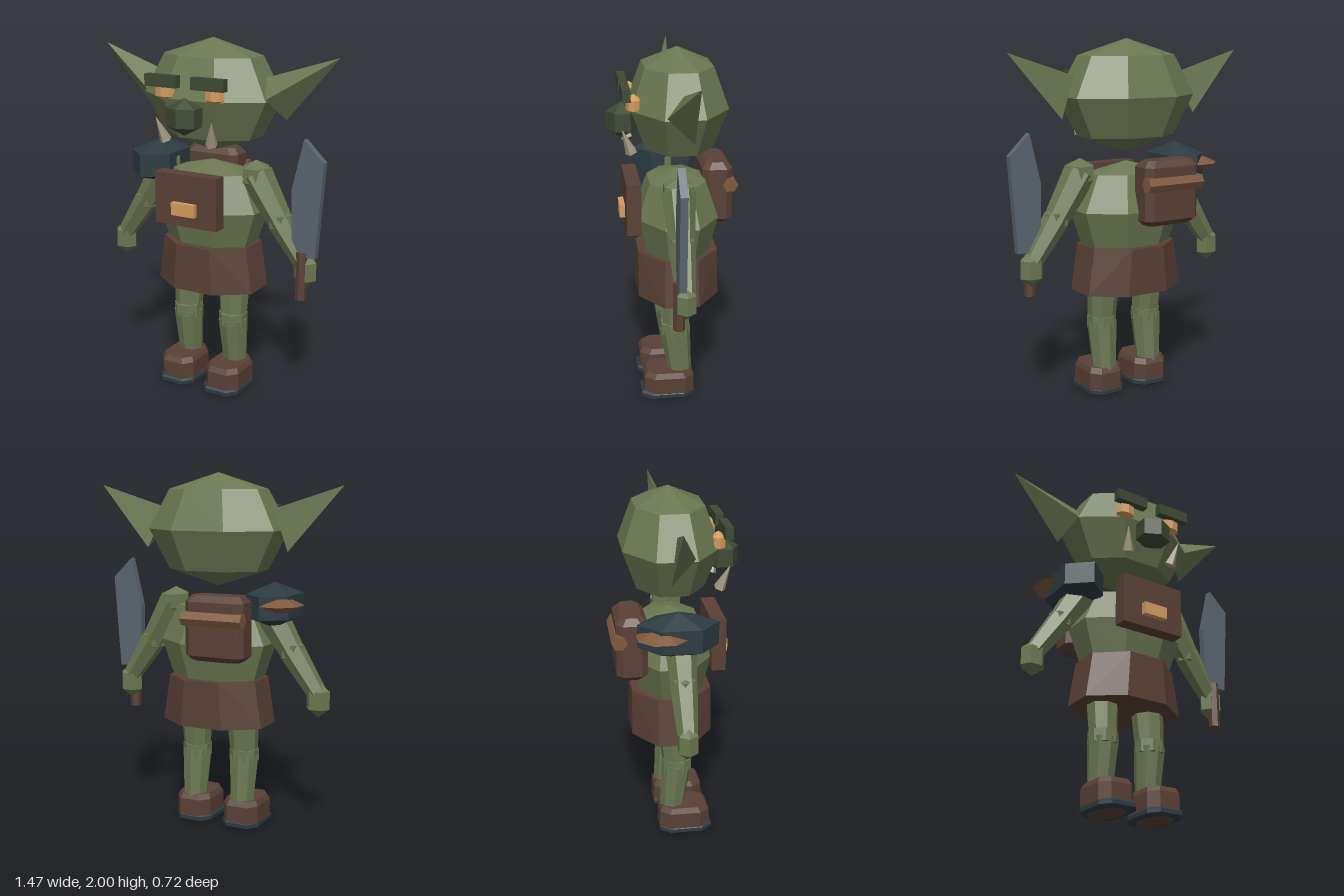
import * as THREE from 'three';
import { ConvexGeometry } from 'three/addons/geometries/ConvexGeometry.js';

const material = (name, color) => {
  const m = new THREE.MeshStandardMaterial({ color });
  m.name = name;
  return m;
};

export function createModel() {
  const skin = material('green skin', 0x6b7852);
  const darkSkin = material('dark green skin', 0x3e4a34);
  const leather = material('brown leather', 0x5a4136);
  const tan = material('tan leather', 0x80593e);
  const iron = material('dark blue iron', 0x2d3c42);
  const steel = material('grey steel', 0x5b6570);
  const amber = material('amber', 0xd39c5f);
  const ivory = material('ivory', 0xa69c82);

  const model = new THREE.Group();
  model.name = 'goblinWarrior';

  // Faceted mesh: split the faces so that every one has its own normal
  const add = (name, geometry, mat) => {
    const g = geometry.index ? geometry.toNonIndexed() : geometry;
    g.computeVertexNormals();
    const mesh = new THREE.Mesh(g, mat);
    mesh.name = name;
    model.add(mesh);
    return mesh;
  };

  const box = (name, mat, size, pos) =>
    add(name, new THREE.BoxGeometry(...size).translate(...pos), mat);

  // Low-poly ellipsoid
  const ball = (name, mat, pos, radii, w = 6, h = 3, turn = 0) =>
    add(name, new THREE.SphereGeometry(1, w, h).rotateY(turn).scale(...radii).translate(...pos), mat);

  // Tapered limb between two points
  const limb = (name, mat, from, to, r0, r1, sides = 6) => {
    const a = new THREE.Vector3(...from), b = new THREE.Vector3(...to);
    const dir = b.clone().sub(a);
    const g = new THREE.CylinderGeometry(r1, r0, dir.length(), sides);
    g.applyQuaternion(new THREE.Quaternion().setFromUnitVectors(
      new THREE.Vector3(0, 1, 0), dir.clone().normalize()));
    const mid = a.add(b).multiplyScalar(0.5);
    return add(name, g.translate(mid.x, mid.y, mid.z), mat);
  };

  // Solid from stacked eight-cornered rings: [y, half width, half depth, corner cut x, corner cut z]
  const stack = (name, mat, x, z, rings) => {
    const points = [];
    for (const [y, a, b, cx, cz] of rings)
      for (const sx of [-1, 1])
        for (const sz of [-1, 1])
          points.push(
            new THREE.Vector3(x + sx * a, y, z + sz * (b - cz)),
            new THREE.Vector3(x + sx * (a - cx), y, z + sz * b));
    return add(name, new ConvexGeometry(points), mat);
  };

  // Head and face
  ball('head', skin, [0, 1.69, -0.025], [0.411, 0.31, 0.281], 8, 4, Math.PI / 8);
  ball('nose', darkSkin, [0, 1.61, 0.275], [0.117, 0.1, 0.098], 6, 3, Math.PI / 6);

  // Torso
  const profile = [[0, 0.83], [0.26, 0.84], [0.341, 1.07], [0.24, 1.27], [0, 1.33]]
    .map(([r, y]) => new THREE.Vector2(r, y));
  add('torso', new THREE.LatheGeometry(profile, 8).rotateY(Math.PI / 8)
    .scale(0.925 / 0.924, 1, 0.7).translate(0, 0, -0.02), skin);

  // Skirt
  stack('skirt', leather, 0, -0.02, [
    [0.61, 0.305, 0.225, 0.18, 0.13],
    [0.87, 0.265, 0.222, 0.16, 0.13]]);

  // Chest plate and buckle
  box('chestPlate', leather, [0.385, 0.29, 0.08], [-0.002, 1.15, 0.23]);
  box('buckle', amber, [0.145, 0.07, 0.035], [-0.002, 1.105, 0.283]);

  // Backpack and bedroll
  stack('backpack', leather, -0.112, -0.25, [
    [1.0, 0.14, 0.055, 0.035, 0.025],
    [1.03, 0.172, 0.085, 0.035, 0.035],
    [1.32, 0.172, 0.085, 0.035, 0.035],
    [1.355, 0.14, 0.055, 0.035, 0.025]]);
  limb('bedroll', tan, [-0.29, 1.23, -0.32], [0.065, 1.23, -0.32], 0.043, 0.043);

  // Shoulder guard on the right side
  ball('shoulderGuard', iron, [-0.34, 1.288, -0.015], [0.165, 0.127, 0.25], 6, 3, Math.PI / 6);
  ball('shoulderGuardTrim', tan, [-0.4, 1.3, -0.105], [0.135, 0.065, 0.145], 8, 2, Math.PI / 8);

  for (const s of [1, -1]) {
    const side = s > 0 ? 'left' : 'right';

    // Ear
    add(side + 'Ear', new ConvexGeometry([
      [0.735, 1.93, -0.05], [0.33, 1.805, -0.02], [0.43, 1.58, -0.065], [0.37, 1.7, 0.07],
    ].map(([x, y, z]) => new THREE.Vector3(s * x, y, z))), skin);

    // Brow, eye, tusk
    box(side + 'Brow', darkSkin, [0.197, 0.065, 0.045], [s * 0.143, 1.79, 0.265]);
    ball(side + 'Eye', amber, [s * 0.155, 1.73, 0.222], [0.067, 0.055, 0.047], 8, 3);
    limb(side + 'Tusk', ivory, [s * 0.143, 1.465, 0.235], [s * 0.172, 1.595, 0.285], 0.034, 0.002, 5);

    // Arm
    const shoulder = [s * 0.285, 1.28, 0], elbow = [s * 0.435, 1.04, 0], wrist = [s * 0.585, 0.82, 0];
    ball(side + 'Shoulder', skin, shoulder, [0.09, 0.08, 0.105]);
    limb(side + 'UpperArm', skin, shoulder, elbow, 0.092, 0.07);
    ball(side + 'Elbow', skin, elbow, [0.077, 0.07, 0.077]);
    limb(side + 'Forearm', skin, elbow, wrist, 0.074, 0.054);
    ball(side + 'Hand', skin, [s * 0.592, 0.782, 0], [0.078, 0.1, 0.066]);

    // Leg
    const knee = [s * 0.15, 0.42, 0.003];
    limb(side + 'Thigh', skin, [s * 0.147, 0.74, -0.02], knee, 0.096, 0.078, 8);
    ball(side + 'Knee', skin, knee, [0.096, 0.07, 0.1], 8, 3, Math.PI / 8);
    limb(side + 'Shin', skin, knee, [s * 0.15, 0.13, -0.026], 0.087, 0.068, 8);

    // Boot, with its base showing inside the sole rim
    stack(side + 'Boot', leather, s * 0.15, 0.042, [
      [0, 0.075, 0.115, 0.04, 0.06],
      [0.04, 0.106, 0.142, 0.045, 0.055],
      [0.135, 0.106, 0.142, 0.045, 0.055],
      [0.165, 0.092, 0.125, 0.04, 0.05]]);
    stack(side + 'Sole', iron, s * 0.147, 0.05, [
      [0.004, 0.1, 0.14, 0.04, 0.06],
      [0.014, 0.112, 0.152, 0.045, 0.06],
      [0.036, 0.112, 0.152, 0.045, 0.06],
      [0.046, 0.1, 0.142, 0.04, 0.06]]);
  }

  // Cleaver in the left hand
  limb('cleaverHandle', leather, [0.588, 0.625, 0.035], [0.588, 0.895, 0.035], 0.032, 0.032);
  const blade = new THREE.Shape([
    [0.53, 0.87], [0.668, 0.87], [0.705, 1.395], [0.587, 1.51], [0.523, 1.235],
  ].map(([x, y]) => new THREE.Vector2(x, y)));
  add('cleaverBlade', new THREE.ExtrudeGeometry(blade, { depth: 0.04, bevelEnabled: false })
    .translate(0, 0, 0.005), steel);

  return model;
}
